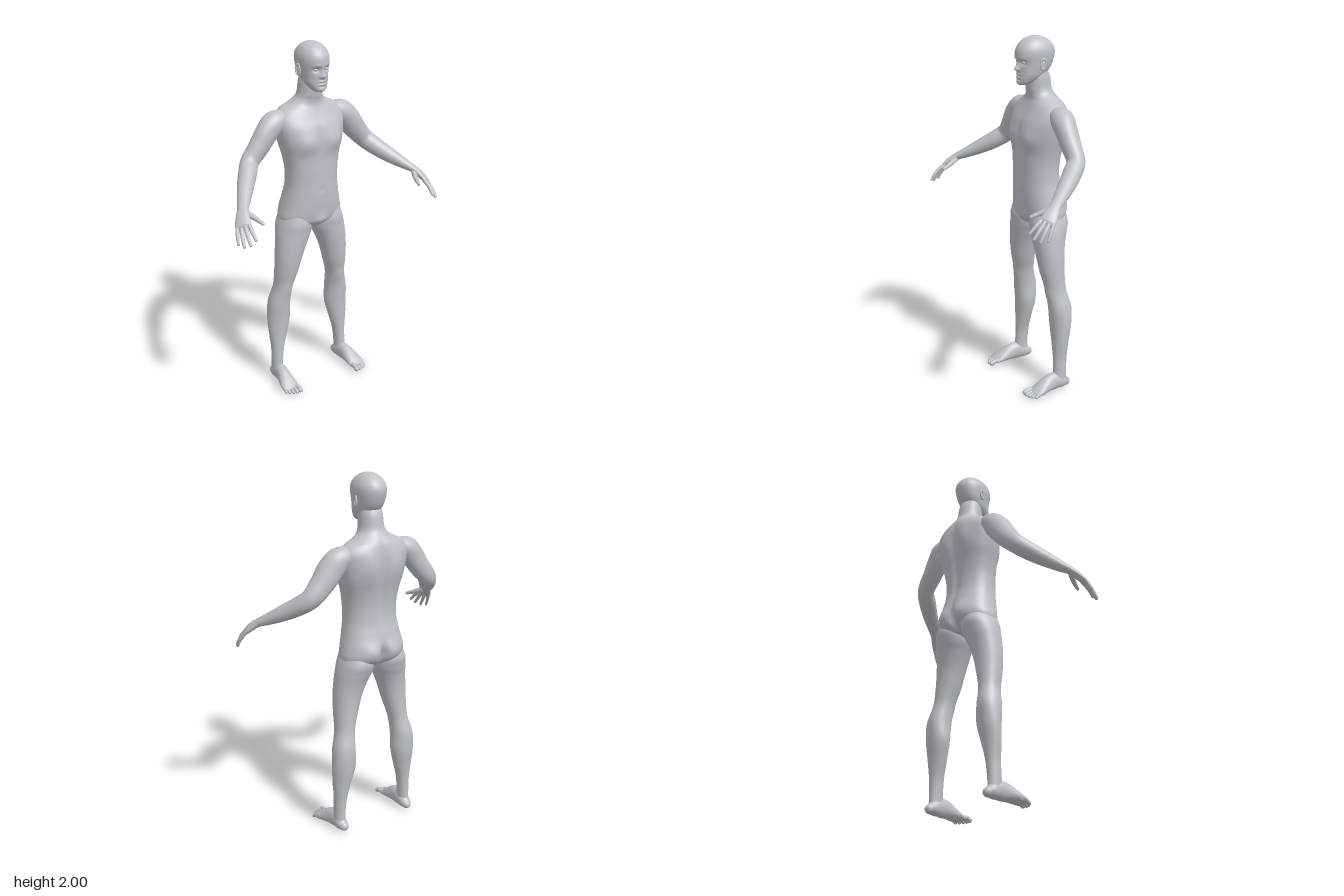
import * as THREE from 'three';

const skin = new THREE.MeshStandardMaterial({ color: 0xbfc3c7 });
skin.name = 'plain grey skin';

// Smoothly resample a list of sections (rows of numbers), k steps per span
function resample(rows, k) {
  const out = [], at = i => rows[Math.max(0, Math.min(rows.length - 1, i))];
  for (let i = 0; i < rows.length - 1; i++) {
    for (let s = 0; s < k; s++) {
      const t = s / k, [a, b, c, d] = [at(i - 1), at(i), at(i + 1), at(i + 2)];
      out.push(b.map((_, j) => b[j] + 0.5 * t * (c[j] - a[j] +
        t * (2 * a[j] - 5 * b[j] + 4 * c[j] - d[j] + t * (3 * (b[j] - c[j]) + d[j] - a[j])))));
    }
  }
  out.push(rows[rows.length - 1]);
  return out;
}

// Skin a stack of rings into one closed smooth mesh; side -1 mirrors it in x
function skinRings(name, rings, side = 1) {
  const mid = r => r.reduce((m, p) => m.addScaledVector(p, 1 / r.length), new THREE.Vector3());
  const first = mid(rings[0]), last = mid(rings[rings.length - 1]);
  let all = [rings[0].map(() => first), ...rings, rings[0].map(() => last)];
  if (side < 0) all = all.map(r => r.map(p => new THREE.Vector3(-p.x, p.y, p.z)).reverse());
  const n = rings[0].length, pos = [], idx = [];
  all.forEach((r, j) => r.forEach((p, i) => {
    pos.push(p.x, p.y, p.z);
    if (j === all.length - 1) return;
    const a = j * n + i, b = j * n + (i + 1) % n;
    idx.push(a, a + n, b, b, a + n, b + n);
  }));
  const geo = new THREE.BufferGeometry();
  geo.setAttribute('position', new THREE.Float32BufferAttribute(pos, 3));
  geo.setIndex(idx);
  geo.computeVertexNormals();
  const mesh = new THREE.Mesh(geo, skin);
  mesh.name = name;
  return mesh;
}

// Horizontal sections [y, xMin, xMax, zBack, zFront, roundness], sculpted by
// bumps [x, y, width, height, amount, 1 front / -1 back], mirrored in x
function column(name, rows, { n = 48, k = 6, bumps = [], side = 1 } = {}) {
  const rings = resample(rows, k).map(([y, x0, x1, z0, z1, e]) => {
    const ring = [];
    for (let i = 0; i < n; i++) {
      const a = i / n * Math.PI * 2, c = Math.cos(a), s = Math.sin(a);
      const pw = v => Math.sign(v) * Math.abs(v) ** (2 / e);
      const p = new THREE.Vector3((x0 + x1) / 2 + (x1 - x0) / 2 * pw(c), y, (z0 + z1) / 2 + (z1 - z0) / 2 * pw(s));
      for (const [bx, by, w, h, amount, dir] of bumps) {
        const mask = Math.min(1, Math.max(0, s * dir) * 2);
        p.z += dir * amount * mask * Math.exp(-(((Math.abs(p.x) - bx) / w) ** 2) - ((y - by) / h) ** 2);
      }
      ring.push(p);
    }
    return ring;
  });
  return skinRings(name, rings, side);
}

// Round-ended limb along sections [x, y, z, radius across, radius through]
function limb(name, rows, across, { n = 24, k = 6, side = 1 } = {}) {
  const path = resample(rows, k), at = i => new THREE.Vector3(...path[i].slice(0, 3));
  const end = path.length - 1, rings = [];
  const ring = (i, shift, scale) => {
    const t = at(Math.min(end, i + 1)).sub(at(Math.max(0, i - 1))).normalize();
    const u = across.clone().addScaledVector(t, -across.dot(t)).normalize();
    const v = u.clone().cross(t), c = at(i).addScaledVector(t, shift * path[i][4]);
    rings.push(Array.from({ length: n }, (_, j) => {
      const a = j / n * Math.PI * 2;
      return c.clone().addScaledVector(u, Math.cos(a) * path[i][3] * scale)
        .addScaledVector(v, Math.sin(a) * path[i][4] * scale);
    }));
  };
  const cap = [0.2, 0.5, 0.8, 1.1, 1.4];
  [...cap].reverse().forEach(a => ring(0, -Math.sin(a), Math.cos(a)));
  path.forEach((_, i) => ring(i, 0, 1));
  cap.forEach(a => ring(end, Math.sin(a), Math.cos(a)));
  return skinRings(name, rings, side);
}

function ball(name, x, y, z, rx, ry, rz) {
  const mesh = new THREE.Mesh(new THREE.SphereGeometry(1, 20, 14), skin);
  mesh.name = name;
  mesh.position.set(x, y, z);
  mesh.scale.set(rx, ry, rz);
  return mesh;
}

export function createModel() {
  const figure = new THREE.Group();
  figure.name = 'standing figure';

  // Torso and neck: [y, half width, back, front, roundness]
  const torso = [
    [0.955, 0.03, -0.16, -0.07, 2], [0.972, 0.1, -0.205, -0.045, 2], [1.0, 0.18, -0.238, -0.022, 2.2],
    [1.03, 0.192, -0.252, -0.014, 2.3], [1.08, 0.182, -0.256, -0.007, 2.3], [1.15, 0.166, -0.24, -0.003, 2.3],
    [1.22, 0.155, -0.224, -0.002, 2.3], [1.3, 0.155, -0.222, 0, 2.3], [1.38, 0.168, -0.232, 0, 2.3],
    [1.45, 0.186, -0.245, 0.003, 2.4], [1.5, 0.197, -0.25, 0, 2.4], [1.55, 0.205, -0.25, -0.012, 2.4],
    [1.6, 0.205, -0.247, -0.037, 2.3], [1.64, 0.175, -0.238, -0.055, 2.1], [1.665, 0.125, -0.226, -0.062, 2],
    [1.69, 0.086, -0.21, -0.06, 2], [1.72, 0.07, -0.196, -0.053, 2], [1.78, 0.065, -0.186, -0.05, 2],
    [1.82, 0.06, -0.17, -0.06, 2]];
  figure.add(column('torso', torso.map(([y, w, b, f, e]) => [y, -w, w, b, f, e]), {
    n: 96, k: 7, bumps: [
      [0.085, 1.46, 0.06, 0.055, 0.014, 1], [0, 1.48, 0.015, 0.08, -0.006, 1],   // chest
      [0, 1.27, 0.012, 0.12, -0.004, 1], [0, 1.19, 0.01, 0.012, -0.006, 1],      // belly
      [0.085, 1.53, 0.05, 0.08, 0.012, -1], [0, 1.4, 0.025, 0.2, -0.016, -1],    // shoulder blades, spine
      [0.075, 1.05, 0.055, 0.055, 0.016, -1], [0, 1.03, 0.018, 0.06, -0.04, -1], // buttocks
      [0, 1.0, 0.04, 0.04, 0.012, 1]],
  }));

  // Head: [y, half width, back, front]
  const head = [
    [1.742, 0.022, -0.05, -0.008], [1.75, 0.036, -0.075, 0.001], [1.77, 0.052, -0.11, 0.004],
    [1.795, 0.065, -0.15, 0.003], [1.82, 0.071, -0.178, 0.003], [1.85, 0.077, -0.196, 0.004],
    [1.9, 0.083, -0.211, 0.012], [1.935, 0.08, -0.208, 0.006], [1.965, 0.066, -0.188, -0.015],
    [1.985, 0.046, -0.16, -0.043], [1.996, 0.023, -0.13, -0.073], [2.0, 0.006, -0.108, -0.093]];
  figure.add(column('head', head.map(([y, w, b, f]) => [y, -w, w, b, f, 2.15]), {
    n: 112, k: 8, bumps: [
      [0, 1.829, 0.011, 0.012, 0.018, 1], [0, 1.845, 0.009, 0.022, 0.011, 1],    // nose
      [0.013, 1.825, 0.007, 0.008, 0.008, 1],
      [0.032, 1.863, 0.018, 0.013, -0.014, 1], [0.03, 1.885, 0.025, 0.009, 0.004, 1], // eyes, brow
      [0, 1.8, 0.02, 0.006, 0.007, 1], [0, 1.792, 0.024, 0.003, -0.004, 1],
      [0, 1.784, 0.018, 0.006, 0.007, 1], [0, 1.773, 0.02, 0.006, -0.003, 1],    // lips
      [0, 1.755, 0.02, 0.012, 0.005, 1]],                                        // chin
  }));

  const across = new THREE.Vector3(0.72, -0.25, -0.65), sideways = new THREE.Vector3(1, 0, 0);
  for (const side of [1, -1]) {
    const tag = side > 0 ? 'left' : 'right';
    figure.add(ball(tag + 'Eye', side * 0.032, 1.863, -0.017, 0.014, 0.009, 0.012));

    // Ear: a flat lobe with a raised rim
    const ear = new THREE.Group();
    ear.name = tag + 'Ear';
    const rim = new THREE.Mesh(new THREE.TorusGeometry(0.017, 0.005, 10, 28), skin);
    rim.name = 'earRim';
    rim.rotation.y = Math.PI / 2;
    rim.scale.set(0.9, 1.55, 1);
    ear.add(rim, ball('earLobe', -side * 0.004, -0.003, 0, 0.006, 0.026, 0.016));
    ear.position.set(side * 0.085, 1.856, -0.104);
    ear.rotation.set(-0.15, -side * 0.3, 0);
    figure.add(ear);

    // Arm running into the palm
    figure.add(limb(tag + 'Arm', [
      [0.15, 1.6, -0.145, 0.05, 0.04], [0.215, 1.578, -0.143, 0.064, 0.064], [0.265, 1.528, -0.14, 0.06, 0.07],
      [0.315, 1.462, -0.138, 0.055, 0.064], [0.378, 1.392, -0.13, 0.049, 0.054], [0.425, 1.345, -0.078, 0.05, 0.05],
      [0.48, 1.298, -0.008, 0.044, 0.042], [0.53, 1.258, 0.06, 0.035, 0.03], [0.56, 1.235, 0.102, 0.031, 0.022],
      [0.582, 1.208, 0.137, 0.038, 0.02], [0.598, 1.182, 0.165, 0.042, 0.016], [0.601, 1.174, 0.173, 0.039, 0.012],
    ], across, { n: 36, side }));

    // Fingers: knuckle, bend and tip with thickness
    const fingers = {
      Thumb: [[0.55, 1.222, 0.12, 0.016], [0.526, 1.2, 0.17, 0.013], [0.51, 1.183, 0.215, 0.009]],
      Index: [[0.575, 1.187, 0.183, 0.012], [0.579, 1.156, 0.226, 0.0105], [0.577, 1.124, 0.258, 0.008]],
      Middle: [[0.593, 1.177, 0.18, 0.012], [0.603, 1.136, 0.222, 0.0105], [0.605, 1.1, 0.252, 0.008]],
      Ring: [[0.61, 1.168, 0.169, 0.0115], [0.624, 1.124, 0.205, 0.01], [0.629, 1.088, 0.228, 0.0075]],
      Pinky: [[0.624, 1.166, 0.152, 0.0105], [0.638, 1.125, 0.177, 0.009], [0.643, 1.093, 0.193, 0.007]],
    };
    for (const [name, rows] of Object.entries(fingers))
      figure.add(limb(tag + name, rows.map(r => [...r, r[3]]), across, { n: 14, k: 4, side }));

    // Leg from hip to ankle
    figure.add(column(tag + 'Leg', [
      [1.09, 0.03, 0.165, -0.21, -0.045, 2], [1.0, 0.008, 0.198, -0.242, -0.022, 2.1],
      [0.94, 0.01, 0.214, -0.23, -0.026, 2.1], [0.88, 0.036, 0.222, -0.211, -0.031, 2.1],
      [0.8, 0.068, 0.23, -0.197, -0.04, 2.1], [0.7, 0.098, 0.233, -0.193, -0.055, 2.1],
      [0.6, 0.127, 0.237, -0.198, -0.08, 2.1], [0.5, 0.135, 0.262, -0.222, -0.09, 2.1],
      [0.4, 0.132, 0.27, -0.22, -0.1, 2], [0.3, 0.155, 0.266, -0.202, -0.105, 2],
      [0.2, 0.182, 0.256, -0.19, -0.108, 2], [0.1, 0.193, 0.256, -0.185, -0.105, 2],
      [0.04, 0.194, 0.256, -0.188, -0.095, 2]].reverse(), {
      n: 48, side, bumps: [[0.182, 0.59, 0.035, 0.04, 0.008, 1], [0.2, 0.45, 0.02, 0.07, -0.005, -1]],
    }));

    // Foot and toes
    figure.add(limb(tag + 'Foot', [
      [0.222, 0.032, -0.188, 0.026, 0.026], [0.223, 0.04, -0.165, 0.034, 0.039], [0.225, 0.053, -0.125, 0.035, 0.052],
      [0.228, 0.051, -0.08, 0.038, 0.05], [0.233, 0.039, -0.035, 0.045, 0.038], [0.238, 0.026, 0.005, 0.051, 0.025],
      [0.239, 0.018, 0.03, 0.048, 0.016]], sideways, { n: 32, side }));
    [[0.203, 0.071, 0.0145], [0.226, 0.073, 0.0105], [0.246, 0.066, 0.01], [0.264, 0.054, 0.0095], [0.279, 0.04, 0.009]]
      .forEach(([x, z, r], i) => figure.add(limb(tag + 'Toe' + (i + 1), [
        [x * 0.85 + 0.036, 0.02, z - 0.055, r, r], [x, r + 0.009, z - 0.02, r * 0.9, r * 0.9], [x, r, z, r, r],
      ], sideways, { n: 14, k: 4, side })));
  }
  return figure;
}
